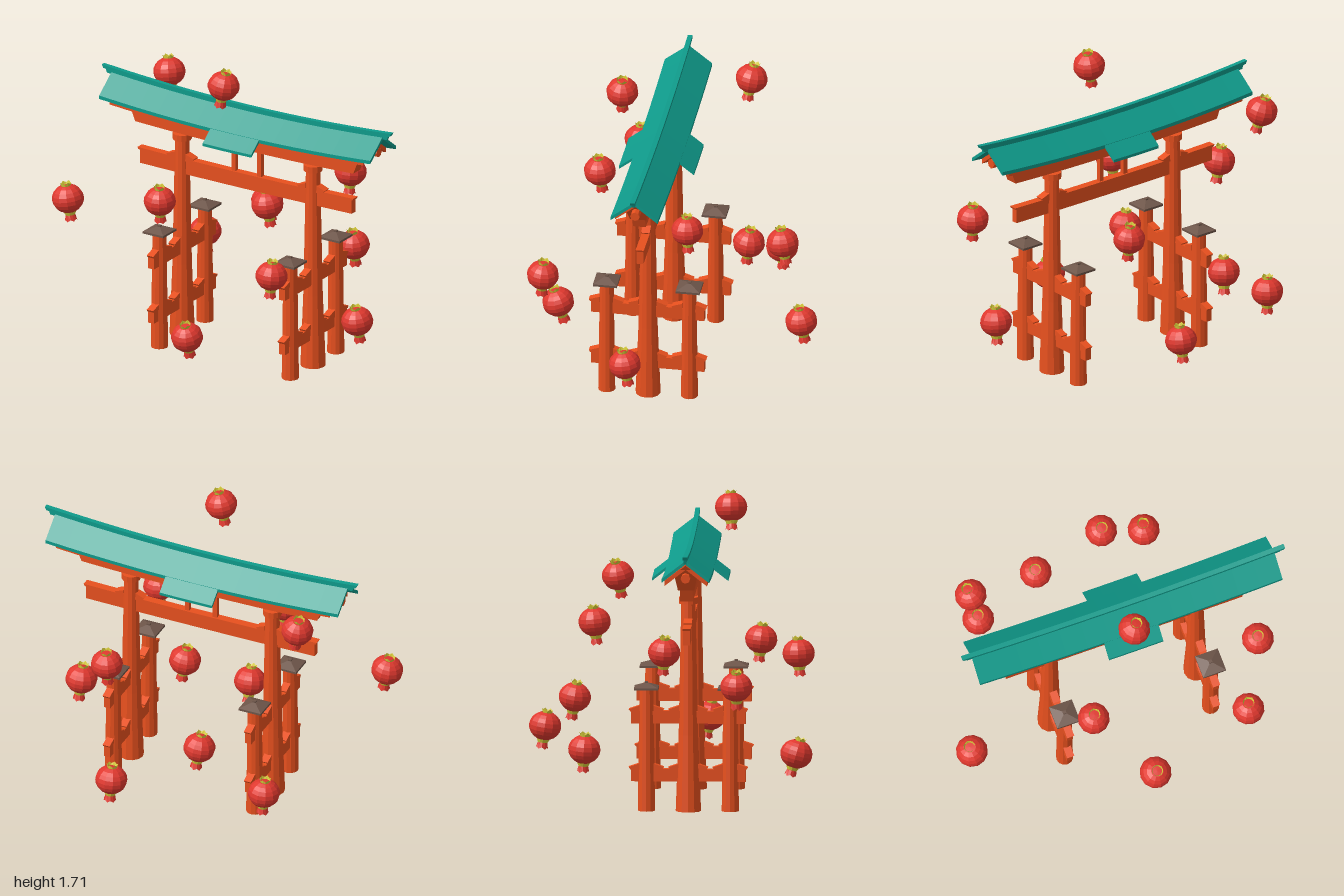
import * as THREE from 'three';

const mat = (color, side = THREE.FrontSide) =>
  new THREE.MeshStandardMaterial({ color, side, flatShading: true });
const orange = mat(0xe8501e), teal = mat(0x0f9b8b), brown = mat(0x6e564a);
const red = mat(0xe0382e, THREE.DoubleSide), yellow = mat(0xd8cc3a, THREE.DoubleSide);

const CX = 0.065, CZ = 0.113; // gate centre
const POST_X = 0.423;         // main post offset from the gate centre
const SIDE_Z = 0.228;         // support post offset

function add(parent, name, geometry, material, x = 0, y = 0, z = 0) {
  const mesh = new THREE.Mesh(geometry, material);
  mesh.name = name;
  mesh.position.set(x, y, z);
  parent.add(mesh);
  return mesh;
}

const lathe = (pts, segments = 12) =>
  new THREE.LatheGeometry(pts.map(([r, y]) => new THREE.Vector2(r, y)), segments);

// Section [z, y] run along x; ends slant from half0 (bottom) to half1 (top), and sweep up by lift
function sweptBeam(section, half0, half1, lift) {
  const shape = new THREE.Shape(section.map(([u, v]) => new THREE.Vector2(u, v)));
  const g = new THREE.ExtrudeGeometry(shape, { depth: 1, steps: 14, bevelEnabled: false });
  g.rotateY(Math.PI / 2);
  const ys = section.map((p) => p[1]), lo = Math.min(...ys), hi = Math.max(...ys);
  const p = g.attributes.position;
  for (let i = 0; i < p.count; i++) {
    const y = p.getY(i);
    const half = THREE.MathUtils.lerp(half0, half1, (y - lo) / (hi - lo));
    const x = (p.getX(i) - 0.5) * 2 * half;
    p.setXY(i, x, y + lift * (x / 0.93) ** 2);
  }
  g.computeVertexNormals();
  return g;
}

const rect = (w, y0, y1) => [[-w / 2, y0], [w / 2, y0], [w / 2, y1], [-w / 2, y1]];

// Thin two-sided pitched section following the roof slope between z offsets
function pitched(top, reach, thick, slope = 0.78) {
  const drop = reach * slope;
  return [[-reach, top - drop - thick], [0, top - thick], [reach, top - drop - thick],
    [reach, top - drop], [0, top], [-reach, top - drop]];
}

// Small locking wedge pointing along +x
function wedgeGeometry(length, width) {
  const s = new THREE.Shape();
  s.moveTo(0, 0);
  s.lineTo(length * 0.85, 0);
  s.lineTo(length, 0.012);
  s.lineTo(0, 0.032);
  const g = new THREE.ExtrudeGeometry(s, { depth: width, bevelEnabled: false });
  return g.translate(0, 0, -width / 2);
}

function sideFrame() {
  const frame = new THREE.Group();
  // Main post with flared foot and collar
  add(frame, 'mainPost', lathe([[0, 0], [0.069, 0], [0.053, 0.42], [0.039, 1.14], [0, 1.14]]), orange);
  add(frame, 'postCollar', new THREE.CylinderGeometry(0.052, 0.052, 0.035, 12), orange, 0, 1.157, 0);

  // Front and back support posts with pyramid caps
  for (const s of [-1, 1]) {
    add(frame, 'supportPost', new THREE.CylinderGeometry(0.038, 0.047, 0.67, 12), orange, 0, 0.335, s * SIDE_Z);
    add(frame, 'postCapSlab', new THREE.BoxGeometry(0.132, 0.012, 0.132), brown, 0, 0.674, s * SIDE_Z);
    const roof = new THREE.CylinderGeometry(0.014, 0.093, 0.022, 4).rotateY(Math.PI / 4);
    add(frame, 'postCapRoof', roof, brown, 0, 0.691, s * SIDE_Z);
    add(frame, 'postCapKnob', new THREE.BoxGeometry(0.018, 0.012, 0.018), brown, 0, 0.704, s * SIDE_Z);
  }

  // Cross rails and their wedges
  for (const y of [0.197, 0.515]) {
    add(frame, 'crossRail', new THREE.BoxGeometry(0.037, 0.068, 0.625), orange, 0, y, 0);
    for (const [z, r] of [[-SIDE_Z, 0.038], [0, 0.05], [SIDE_Z, 0.038]]) {
      for (const s of [-1, 1]) {
        const w = add(frame, 'railWedge', wedgeGeometry(0.058, 0.042), orange, 0, y + 0.032, z + s * r);
        w.rotation.y = -s * Math.PI / 2;
      }
    }
  }
  // Wedges on the tie beam
  for (const s of [-1, 1]) {
    const w = add(frame, 'beamWedge', wedgeGeometry(0.052, 0.046), orange, s * 0.036, 1.03, 0);
    if (s < 0) w.rotation.y = Math.PI;
  }
  return frame;
}

function gate() {
  const g = new THREE.Group();
  g.name = 'gate';
  for (const s of [-1, 1]) {
    const frame = sideFrame();
    frame.name = s < 0 ? 'rightFrame' : 'leftFrame';
    frame.position.x = s * POST_X;
    g.add(frame);
    add(g, 'strut', new THREE.BoxGeometry(0.026, 0.16, 0.026), orange, s * 0.083, 1.1, 0);
  }
  // Tie beam with a thin lip
  add(g, 'tieBeam', sweptBeam(rect(0.037, 0.942, 1.02), 0.685, 0.685, 0.008), orange);
  add(g, 'tieBeamLip', sweptBeam(rect(0.045, 1.018, 1.03), 0.692, 0.698, 0.014), orange);

  // Stacked lintel, widening upward
  add(g, 'lowerLintel', sweptBeam(rect(0.07, 1.177, 1.25), 0.705, 0.735, 0.025), orange);
  add(g, 'upperLintel', sweptBeam(
    [[-0.045, 1.235], [0.045, 1.235], [0.06, 1.31], [0.06, 1.33], [0, 1.376], [-0.06, 1.33], [-0.06, 1.31]],
    0.745, 0.835, 0.035), orange);
  add(g, 'rafters', sweptBeam(pitched(1.378, 0.115, 0.028), 0.82, 0.82, 0.04), orange);
  for (const s of [-1, 1]) {
    const boss = new THREE.CylinderGeometry(0.026, 0.026, 0.08, 8).rotateZ(Math.PI / 2);
    add(g, 'gableBoss', boss, orange, s * 0.81, 1.335, 0);
  }

  // Pitched roof, central eave extension and ridge
  add(g, 'roof', sweptBeam(pitched(1.402, 0.13, 0.02), 0.876, 0.876, 0.04), teal);
  add(g, 'centreEave', sweptBeam(pitched(1.4, 0.207, 0.016), 0.157, 0.157, 0.04), teal);
  add(g, 'ridgeBase', sweptBeam(rect(0.016, 1.385, 1.412), 0.905, 0.915, 0.04), teal);
  add(g, 'ridgeCap', sweptBeam(rect(0.026, 1.408, 1.426), 0.925, 0.935, 0.04), teal);
  g.position.set(CX, 0, CZ);
  return g;
}

// Zigzags one rim of a 12-sided open ring
function jagged(pts, row, amount) {
  const g = lathe(pts), p = g.attributes.position;
  for (let i = 1; i < 12; i += 2) {
    const k = i * pts.length + row;
    p.setY(k, p.getY(k) + amount);
  }
  return g;
}

const bodyProfile = [];
for (let i = 0; i <= 8; i++) {
  const a = (-1 + i / 4) * 1.17;
  bodyProfile.push([0.088 * Math.cos(a), 0.08 * Math.sin(a)]);
}
const lanternParts = [
  ['lanternBody', lathe(bodyProfile), red],
  ['lanternTop', lathe([[0.036, 0.072], [0, 0.074]]), red],
  ['lanternCrown', jagged([[0.026, 0.07], [0.031, 0.094]], 1, -0.011), yellow],
  ['lanternBand', lathe([[0.027, -0.092], [0.036, -0.071]]), yellow],
  ['lanternFringe', jagged([[0.034, -0.127], [0.026, -0.09]], 0, 0.011), red],
];

// Lantern centres and lean of their axes: x, y, z, leanX, leanZ
const lanterns = [
  [0.05, 1.61, 0.33, 0.17, -0.03], [-0.915, 0.763, 0.395, -0.17, 0],
  [-0.25, 0.93, 0.505, 0.03, 0.1], [-0.21, 0.6, -0.51, -0.1, 0.15],
  [-0.567, 0.365, -0.445, -0.05, 0.06], [0.042, 0.257, 0.685, 0.03, 0.28],
  [0.235, 0.376, -0.688, 0, 0.15], [0.096, 0.802, -0.036, -0.13, 0.06],
  [0.384, 0.927, -0.425, 0, -0.1], [0.583, 0.731, 0.677, 0.04, -0.06],
  [0.82, 0.352, 0.185, -0.05, 0.15], [-0.68, 1.338, -0.258, -0.2, -0.16],
];

export function createModel() {
  const model = new THREE.Group();
  model.name = 'gateWithLanterns';
  model.add(gate());
  const up = new THREE.Vector3(0, 1, 0);
  for (const [x, y, z, lx, lz] of lanterns) {
    const lantern = new THREE.Group();
    lantern.name = 'lantern';
    for (const [name, geo, material] of lanternParts) add(lantern, name, geo, material);
    lantern.position.set(x, y, z);
    lantern.quaternion.setFromUnitVectors(up, new THREE.Vector3(lx, 1, lz).normalize());
    model.add(lantern);
  }
  return model;
}
